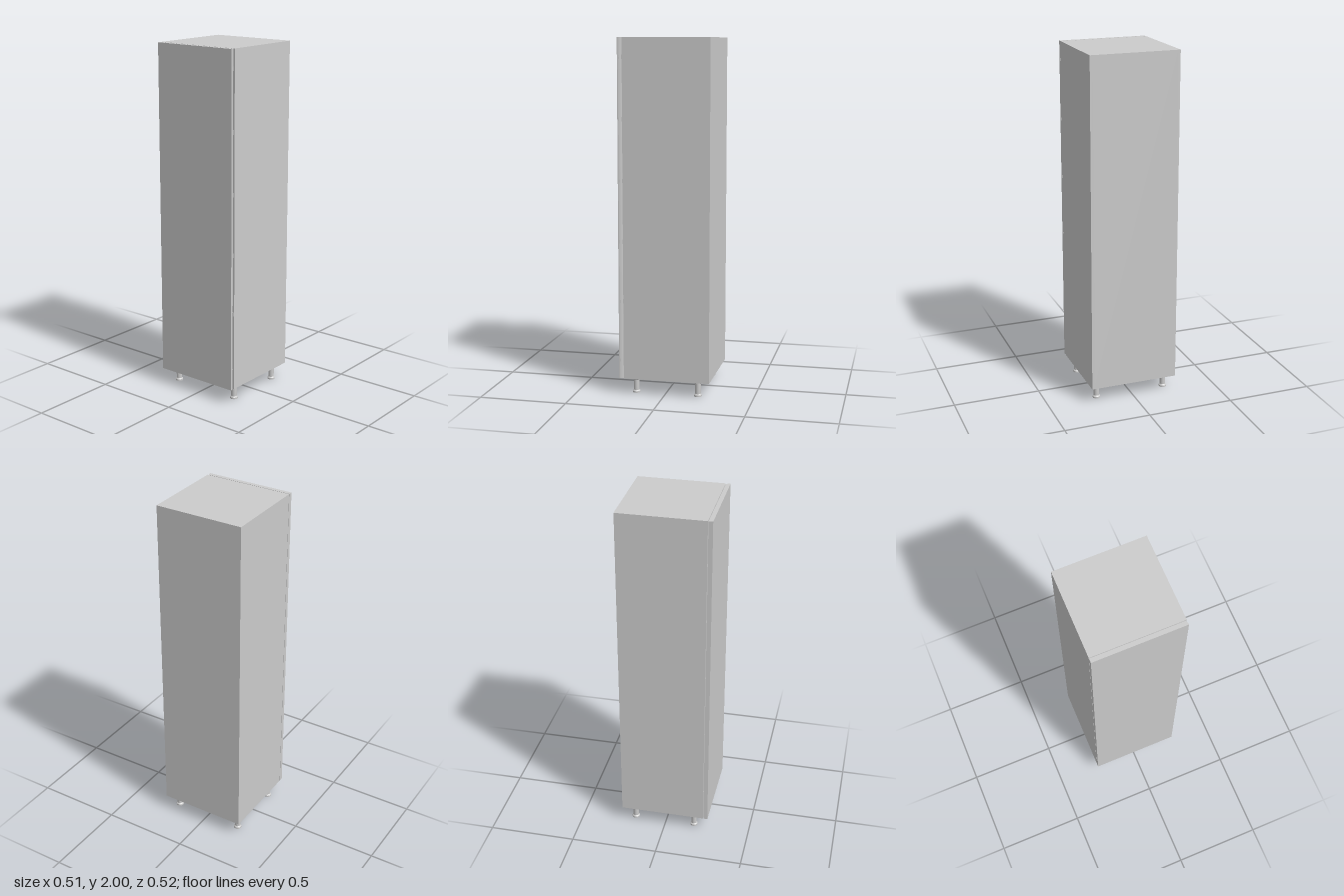
import * as THREE from 'three';

const W = 0.256, BOTTOM = 0.089, TOP = 2, BACK = -0.259, FRONT = 0.232, PANEL = 0.016;

export function createModel() {
  const model = new THREE.Group();
  model.name = 'tallCabinet';
  const mat = new THREE.MeshStandardMaterial({ color: 0xcccccc });

  function add(name, geometry, x = 0, y = 0, z = 0) {
    const mesh = new THREE.Mesh(geometry, mat);
    mesh.name = name;
    mesh.position.set(x, y, z);
    model.add(mesh);
    return mesh;
  }
  const rect = (path, x, y0, y1) =>
    path.moveTo(-x, y0).lineTo(x, y0).lineTo(x, y1).lineTo(-x, y1).closePath();

  // Carcass: sides, top and bottom as one frame, closed by a back panel
  const frame = rect(new THREE.Shape(), W, BOTTOM, TOP);
  frame.holes.push(rect(new THREE.Path(), W - PANEL, BOTTOM + PANEL, TOP - PANEL));
  add('carcass', new THREE.ExtrudeGeometry(frame, { depth: FRONT - BACK, bevelEnabled: false }), 0, 0, BACK);
  const height = TOP - BOTTOM, midY = (TOP + BOTTOM) / 2;
  add('backPanel', new THREE.BoxGeometry(2 * (W - PANEL), height - 2 * PANEL, 0.01), 0, midY, BACK + 0.005);

  // Door: plan outline with a rounded-back grip edge on the left, extruded upwards
  const plan = new THREE.Shape();
  plan.moveTo(-W, -0.259).lineTo(W, -0.259).lineTo(W, -0.254);
  plan.quadraticCurveTo(0.254, -0.244, 0.248, -0.235);
  plan.lineTo(-W, -0.235).closePath();
  const doorGeo = new THREE.ExtrudeGeometry(plan, { depth: height, bevelEnabled: false, curveSegments: 5 });
  doorGeo.rotateX(-Math.PI / 2);
  add('door', doorGeo, 0, BOTTOM);

  // Small fittings along the grip edge, bridging the gap to the carcass
  for (let i = 0; i < 6; i++) {
    const y = 0.195 + i * 0.34;
    add('spacer', new THREE.BoxGeometry(0.022, 0.024, 0.005), 0.239, y, 0.2335);
    add('edgeCatch', new THREE.BoxGeometry(0.014, 0.018, 0.009), 0.2485, y, 0.2525);
  }

  // Turned feet with a mounting flange and a wider base
  const profile = [
    [0, 0], [0.022, 0], [0.022, 0.009], [0.016, 0.015], [0.016, 0.074],
    [0.021, 0.077], [0.021, BOTTOM], [0, BOTTOM],
  ];
  // Separate bands keep the turned edges crisp
  for (const x of [-0.207, 0.207]) {
    for (const z of [-0.187, 0.17]) {
      const leg = new THREE.Group();
      leg.name = 'leg';
      leg.position.set(x, 0, z);
      for (let i = 0; i < profile.length - 1; i++) {
        const pts = [profile[i], profile[i + 1]].map(([r, y]) => new THREE.Vector2(r, y));
        const band = new THREE.Mesh(new THREE.LatheGeometry(pts, 24), mat);
        band.name = 'legBand';
        leg.add(band);
      }
      model.add(leg);
    }
  }
  return model;
}
